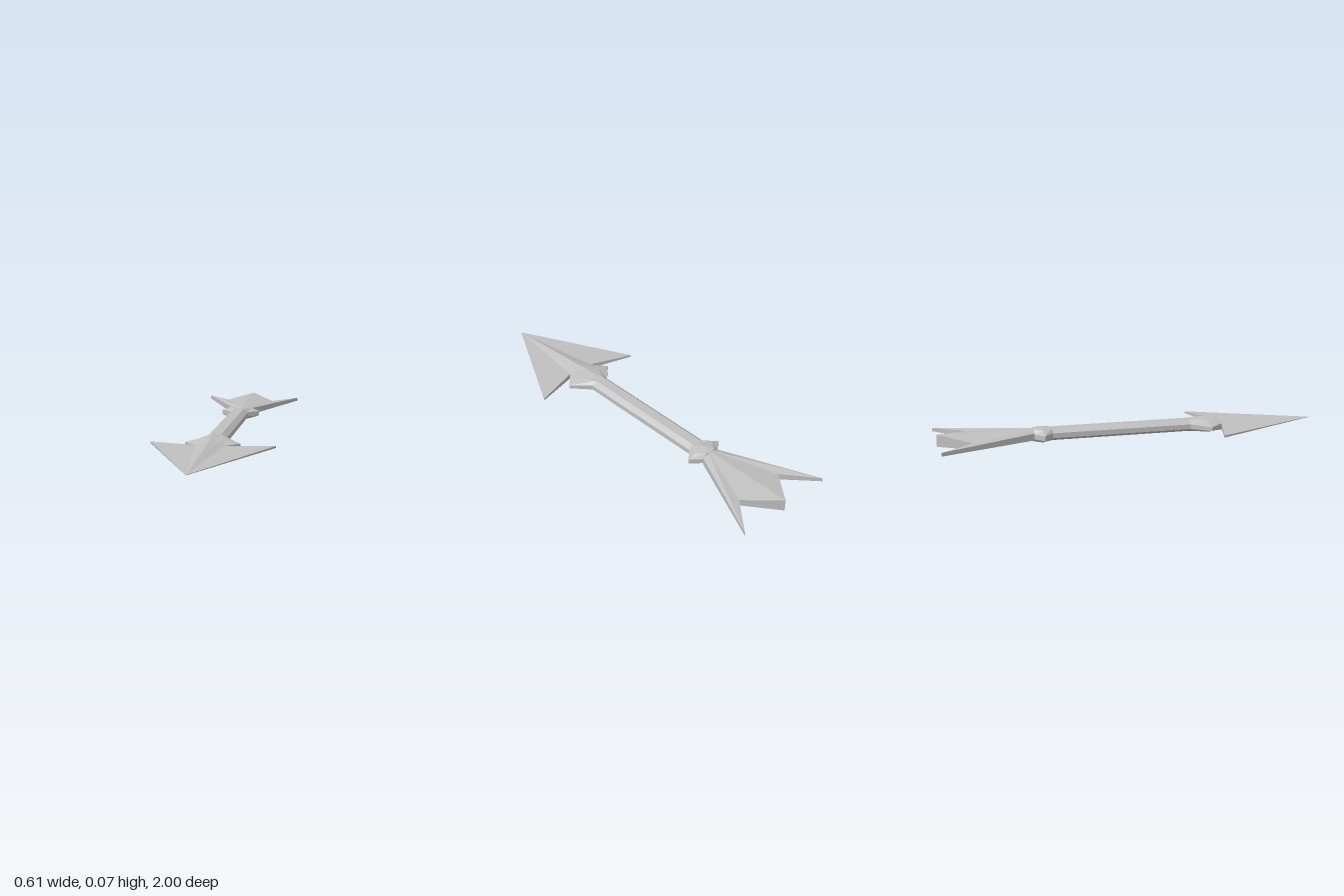
import * as THREE from 'three';

const steel = new THREE.MeshStandardMaterial({ color: 0xbfbfbf, flatShading: true });
steel.name = 'pale grey';

function facetedMesh(name, triangles) {
  const geometry = new THREE.BufferGeometry();
  geometry.setAttribute('position', new THREE.Float32BufferAttribute(triangles.flat(2), 3));
  geometry.computeVertexNormals();
  const mesh = new THREE.Mesh(geometry, steel);
  mesh.name = name;
  return mesh;
}

// Half profiles run from the top centre down the +x side; they are mirrored into rings.
// Sections are listed from front to back.
function loft(name, sections) {
  const rings = sections.map(([z, half]) => {
    const right = half.map(([x, y]) => [x, y, z]);
    const left = half.slice(1).reverse().map(([x, y]) => [-x, y, z]);
    return [...right, ...left];
  });
  const n = rings[0].length;
  const triangles = [];
  for (let i = 0; i < rings.length - 1; i++) {
    const a = rings[i], b = rings[i + 1];
    for (let j = 0; j < n; j++) {
      const k = (j + 1) % n;
      triangles.push([a[j], a[k], b[j]], [a[k], b[k], b[j]]);
    }
  }
  const front = rings[0], back = rings[rings.length - 1];
  for (let j = 1; j < n - 1; j++) {
    triangles.push([front[0], front[j + 1], front[j]], [back[0], back[j], back[j + 1]]);
  }
  return facetedMesh(name, triangles);
}

// Mirrored blade; each +x outline point is [x, z, top y, bottom y].
function blade(name, outline) {
  const top = outline.map(([x, z, t]) => [x, t, z]);
  const bottom = outline.map(([x, z, , b]) => [x, b, z]);
  const half = [];
  const n = outline.length;
  for (let i = 1; i < n - 1; i++) {
    half.push([top[0], top[i], top[i + 1]], [bottom[0], bottom[i + 1], bottom[i]]);
  }
  // The last edge lies on the mirror plane and stays open.
  for (let i = 0; i < n - 1; i++) {
    half.push([bottom[i], bottom[i + 1], top[i + 1]], [bottom[i], top[i + 1], top[i]]);
  }
  const mirrored = half.map(t => [t[0], t[2], t[1]].map(([x, y, z]) => [-x, y, z]));
  return facetedMesh(name, [...half, ...mirrored]);
}

export function createModel() {
  const group = new THREE.Group();
  group.name = 'arrow';

  const shaftProfile = [[0, 0.065], [0.025, 0.065], [0.05, 0.045], [0.05, 0.02], [0.025, 0.005]];
  const tipProfile = shaftProfile.map(() => [0, 0.032]);

  // Octagonal shaft
  group.add(loft('shaft', [[0.32, shaftProfile], [-0.44, shaftProfile]]));

  // Ridged spine of the head, swelling into its collar
  group.add(loft('headSpine', [
    [1, tipProfile],
    [0.465, [[0, 0.07], [0.035, 0.058], [0.07, 0.044], [0.07, 0.018], [0.04, 0.004]]],
    [0.39, [[0, 0.075], [0.065, 0.061], [0.135, 0.041], [0.135, 0.022], [0.05, 0.001]]],
    [0.3, shaftProfile],
  ]));

  // Swept head wings
  group.add(blade('headWings', [
    [0, 1, 0.033, 0.031],
    [0.305, 0.39, 0.037, 0.027],
    [0.07, 0.465, 0.044, 0.018],
    [0, 0.465, 0.05, 0.015],
  ]));

  // Collar in front of the tail
  group.add(loft('tailCollar', [
    [-0.43, shaftProfile],
    [-0.48, [[0, 0.073], [0.06, 0.063], [0.105, 0.045], [0.105, 0.02], [0.05, 0.002]]],
    [-0.525, shaftProfile],
  ]));

  // Notched tail with a thick centre and thin outer points
  group.add(blade('tailFins', [
    [0, -0.5, 0.065, 0.005],
    [0.05, -0.525, 0.05, 0.015],
    [0.27, -1, 0.04, 0.022],
    [0.135, -0.84, 0.043, 0.011],
    [0, -1, 0.065, 0.004],
  ]));

  return group;
}
